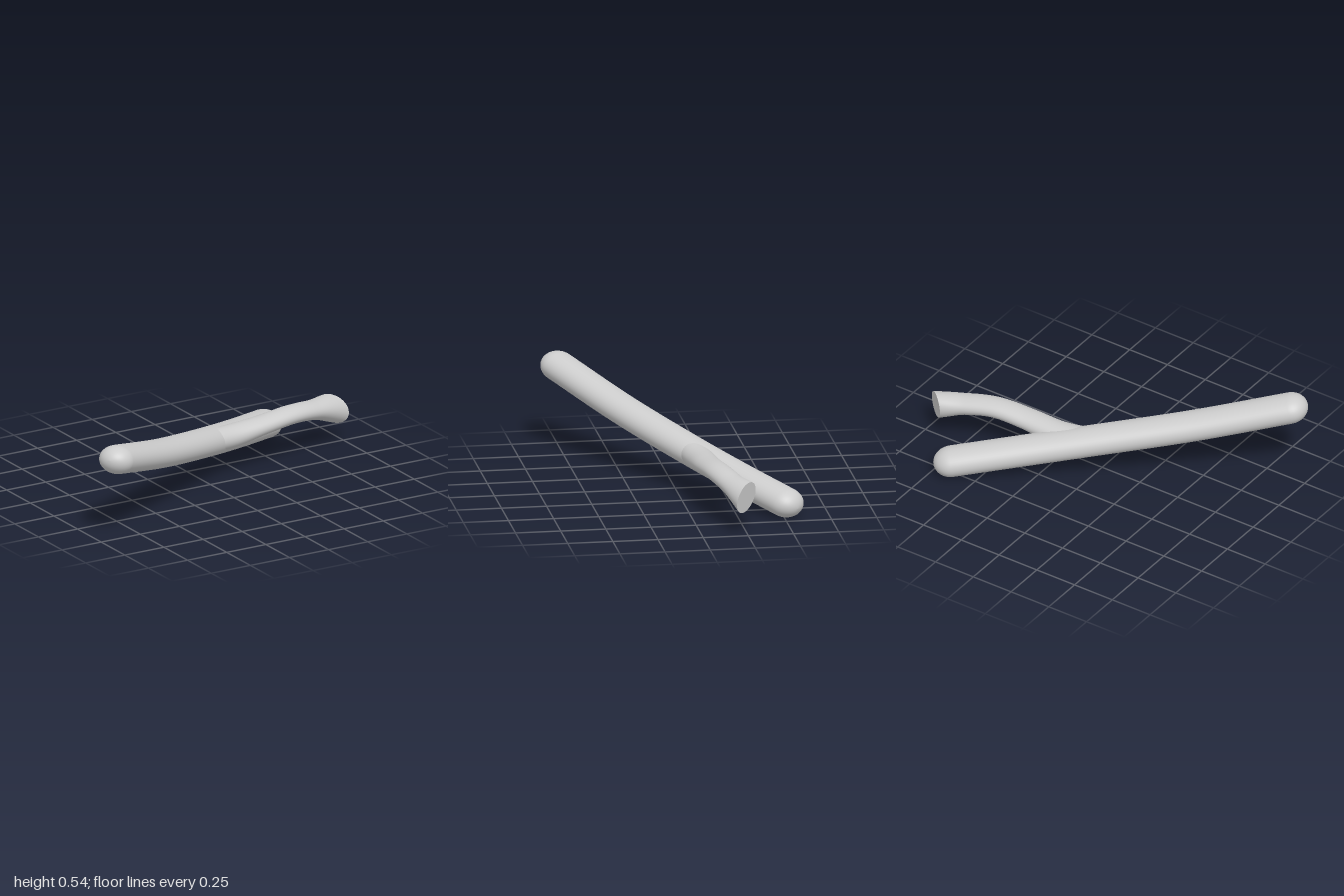
import * as THREE from 'three';

const SIDES = 40;
const V = (x, y, z) => new THREE.Vector3(x, y, z);

// Skin a list of rings { c: centre, s: side half-axis, u: up half-axis }
function skin(rings) {
  const pos = [], index = [];
  for (const { c, s, u } of rings) {
    for (let j = 0; j < SIDES; j++) {
      const a = (j / SIDES) * Math.PI * 2;
      const p = c.clone().addScaledVector(s, Math.cos(a)).addScaledVector(u, Math.sin(a));
      pos.push(p.x, p.y, p.z);
    }
  }
  for (let i = 0; i < rings.length - 1; i++) {
    for (let j = 0; j < SIDES; j++) {
      const k = (j + 1) % SIDES;
      const a = i * SIDES + j, b = i * SIDES + k, c = a + SIDES, d = b + SIDES;
      index.push(a, c, b, b, c, d);
    }
  }
  const g = new THREE.BufferGeometry();
  g.setAttribute('position', new THREE.Float32BufferAttribute(pos, 3));
  g.setIndex(index);
  g.computeVertexNormals();
  return g;
}

// Unit side and up directions across a path, side kept horizontal
function frame(t) {
  const side = V(-t.z, 0, t.x).normalize();
  return { side, up: side.clone().cross(t).normalize() };
}

export function createModel() {
  const group = new THREE.Group();
  group.name = 'forkedStick';
  const material = new THREE.MeshStandardMaterial({ color: 0xcccccc });
  const add = (name, geometry) => {
    const mesh = new THREE.Mesh(geometry, material);
    mesh.name = name;
    group.add(mesh);
  };

  // Main stick: gently sagging oval rod with rounded ends
  const R = 0.1, H = 0.08;
  const main = new THREE.CatmullRomCurve3([
    V(-0.9, 0.462, 0.505), V(-0.45, 0.33, 0.22), V(0, 0.222, -0.068),
    V(0.33, 0.148, -0.288), V(0.65, 0.08, -0.51),
  ]);
  const rings = [];
  const ring = (t, shift, scale) => {
    const tan = main.getTangent(t), { side, up } = frame(tan);
    rings.push({
      c: main.getPoint(t).addScaledVector(tan, shift),
      s: side.multiplyScalar(R * scale), u: up.multiplyScalar(H * scale),
    });
  };
  const CAP = 10, STEPS = 40;
  for (let i = 0; i < CAP; i++) {
    const a = (i / CAP) * Math.PI / 2;
    ring(0, -R * Math.cos(a), Math.max(Math.sin(a), 0.001));
  }
  for (let i = 0; i <= STEPS; i++) ring(i / STEPS, 0, 1);
  for (let i = CAP - 1; i >= 0; i--) {
    const a = (i / CAP) * Math.PI / 2;
    ring(1, R * Math.cos(a), Math.max(Math.sin(a), 0.001));
  }
  add('mainStick', skin(rings));

  // Side branch: arches out of the stick and flares to a slanted cut
  const path = new THREE.CatmullRomCurve3([
    V(0, 0.22, -0.075), V(0.2, 0.212, -0.112), V(0.4, 0.234, -0.124),
    V(0.6, 0.25, -0.15), V(0.77, 0.232, -0.197), V(0.93, 0.196, -0.25),
  ]);
  const radii = new THREE.CatmullRomCurve3([
    V(0.075, 0.066, 0), V(0.078, 0.064, 0), V(0.075, 0.052, 0),
    V(0.073, 0.05, 0), V(0.073, 0.053, 0), V(0.09, 0.084, 0),
  ]);
  const cutSide = V(0.75, 0, 0.66).normalize(), cutUp = V(-0.16, 1, -0.22).normalize();
  const branch = [];
  for (let i = 0; i <= STEPS; i++) {
    const t = i / STEPS, r = radii.getPoint(t);
    const { side, up } = frame(path.getTangent(t));
    const k = THREE.MathUtils.smoothstep(t, 0.72, 1.05);
    const blend = Math.min(k / THREE.MathUtils.smoothstep(1, 0.72, 1.05), 1);
    branch.push({
      c: path.getPoint(t),
      s: side.lerp(cutSide, blend).normalize().multiplyScalar(r.x),
      u: up.lerp(cutUp, blend).normalize().multiplyScalar(r.y),
    });
  }
  add('sideBranch', skin(branch));

  // Flat cut face closing the branch, with its own crisp normals
  const end = branch[STEPS];
  const zero = V(0, 0, 0);
  add('branchCut', skin([end, { c: end.c, s: zero, u: zero }]));
  return group;
}
